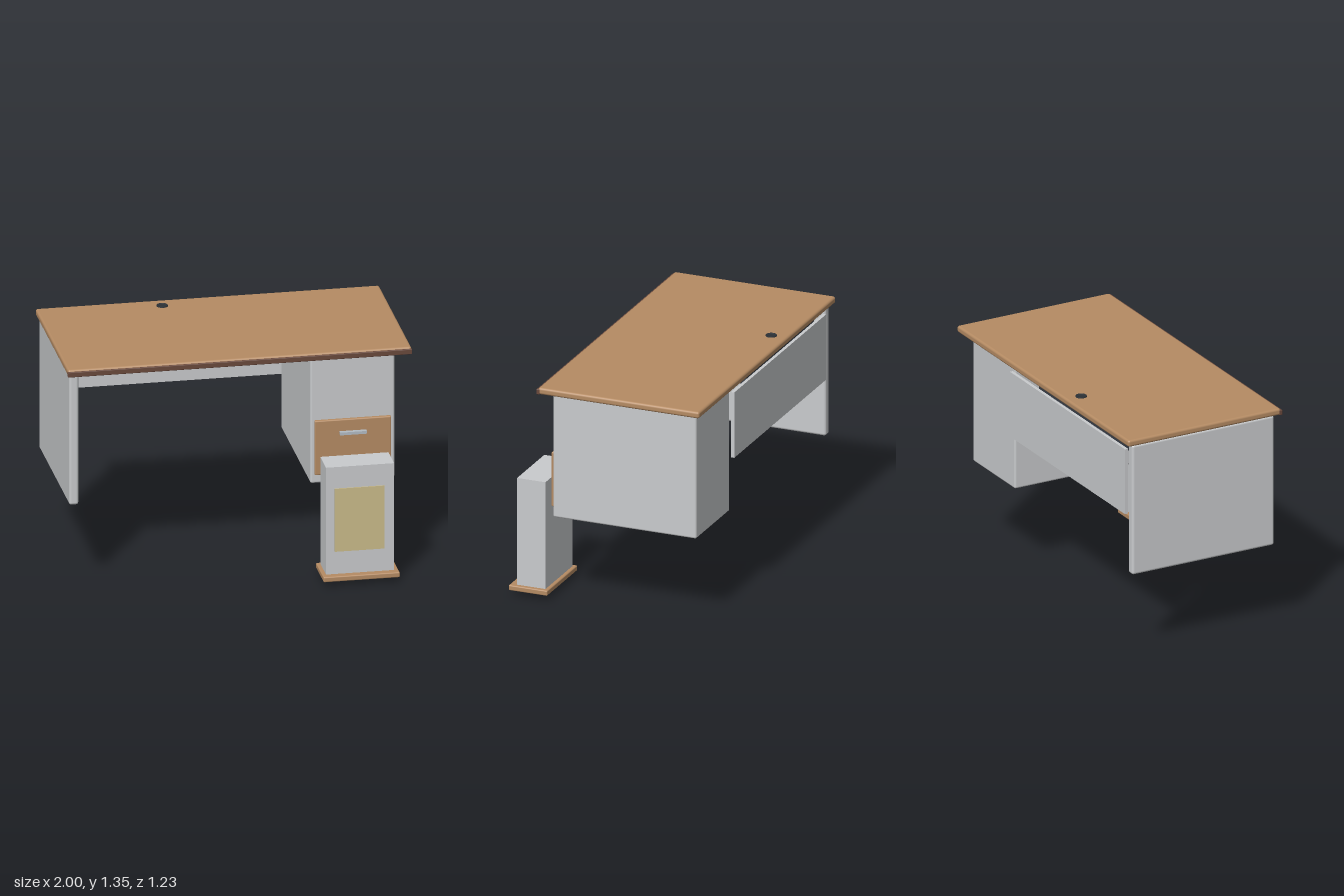
import * as THREE from 'three';
import { RoundedBoxGeometry } from 'three/addons/geometries/RoundedBoxGeometry.js';

const mat = (name, color) => {
  const m = new THREE.MeshStandardMaterial({ color });
  m.name = name;
  return m;
};

export function createModel() {
  const grey = mat('panel grey', 0xc9cbcd);
  const wood = mat('warm wood', 0xb58b63);
  const brown = mat('dark edge brown', 0x6a493c);
  const slate = mat('tray slate', 0x3a3f48);
  const black = mat('grommet black', 0x2b3035);
  const steel = mat('handle steel', 0xb3bcc4);
  const straw = mat('straw yellow', 0xcabb8a);

  const desk = new THREE.Group();
  desk.name = 'desk';

  // Box from its limits on each axis, with softened edges if a radius is given
  function block(parent, name, material, [x0, x1], [y0, y1], [z0, z1], radius = 0) {
    const size = [x1 - x0, y1 - y0, z1 - z0];
    const geometry = radius
      ? new RoundedBoxGeometry(...size, 3, radius)
      : new THREE.BoxGeometry(...size);
    const mesh = new THREE.Mesh(geometry, material);
    mesh.name = name;
    mesh.position.set((x0 + x1) / 2, (y0 + y1) / 2, (z0 + z1) / 2);
    parent.add(mesh);
    return mesh;
  }

  // Worktop with its dark front edging
  block(desk, 'worktop', wood, [-0.999, 0.999], [1.305, 1.346], [-0.615, 0.385], 0.014);
  block(desk, 'frontEdging', brown, [-1, 1], [1.305, 1.336], [0.374, 0.395], 0.004);

  // Cable grommet: low collar with a slightly recessed cap
  const grommet = new THREE.Mesh(new THREE.LatheGeometry([
    [0, 1.348], [0.024, 1.348], [0.026, 1.352], [0.031, 1.352], [0.033, 1.349], [0.033, 1.34],
  ].reverse().map(([r, y]) => new THREE.Vector2(r, y)), 32), black);
  grommet.name = 'cableGrommet';
  grommet.position.set(-0.28, 0, -0.52);
  desk.add(grommet);

  // Side panel, back panel and cable tray
  block(desk, 'sidePanel', grey, [-0.985, -0.93], [0.505, 1.305], [-0.58, 0.35], 0.015);
  block(desk, 'modestyPanel', grey, [-0.915, 0.425], [0.86, 1.26], [-0.59, -0.57]);
  block(desk, 'cableTray', slate, [-0.835, 0.16], [1.21, 1.265], [-0.55, -0.43]);

  // Pedestal with its drawer front
  const pedestal = new THREE.Group();
  pedestal.name = 'pedestal';
  desk.add(pedestal);
  block(pedestal, 'pedestalBody', grey, [0.42, 0.91], [0.53, 1.305], [-0.56, 0.33], 0.012);
  block(pedestal, 'drawerFront', wood, [0.443, 0.887], [0.585, 0.917], [0.32, 0.35], 0.007);
  block(pedestal, 'drawerHandle', steel, [0.585, 0.74], [0.83, 0.847], [0.35, 0.375]);

  // Upright drawer standing on its front, with a straw-coloured sheet
  const drawer = new THREE.Group();
  drawer.name = 'uprightDrawer';
  desk.add(drawer);
  block(drawer, 'drawerBox', grey, [0.465, 0.861], [0.06, 0.716], [0.396, 0.572]);
  block(drawer, 'drawerPlate', wood, [0.443, 0.887], [0.03, 0.062], [0.375, 0.615], 0.007);
  block(drawer, 'plateHandle', steel, [0.585, 0.74], [0, 0.03], [0.508, 0.528]);
  block(drawer, 'drawerSheet', straw, [0.515, 0.805], [0.2, 0.585], [0.571, 0.579]);

  return desk;
}
